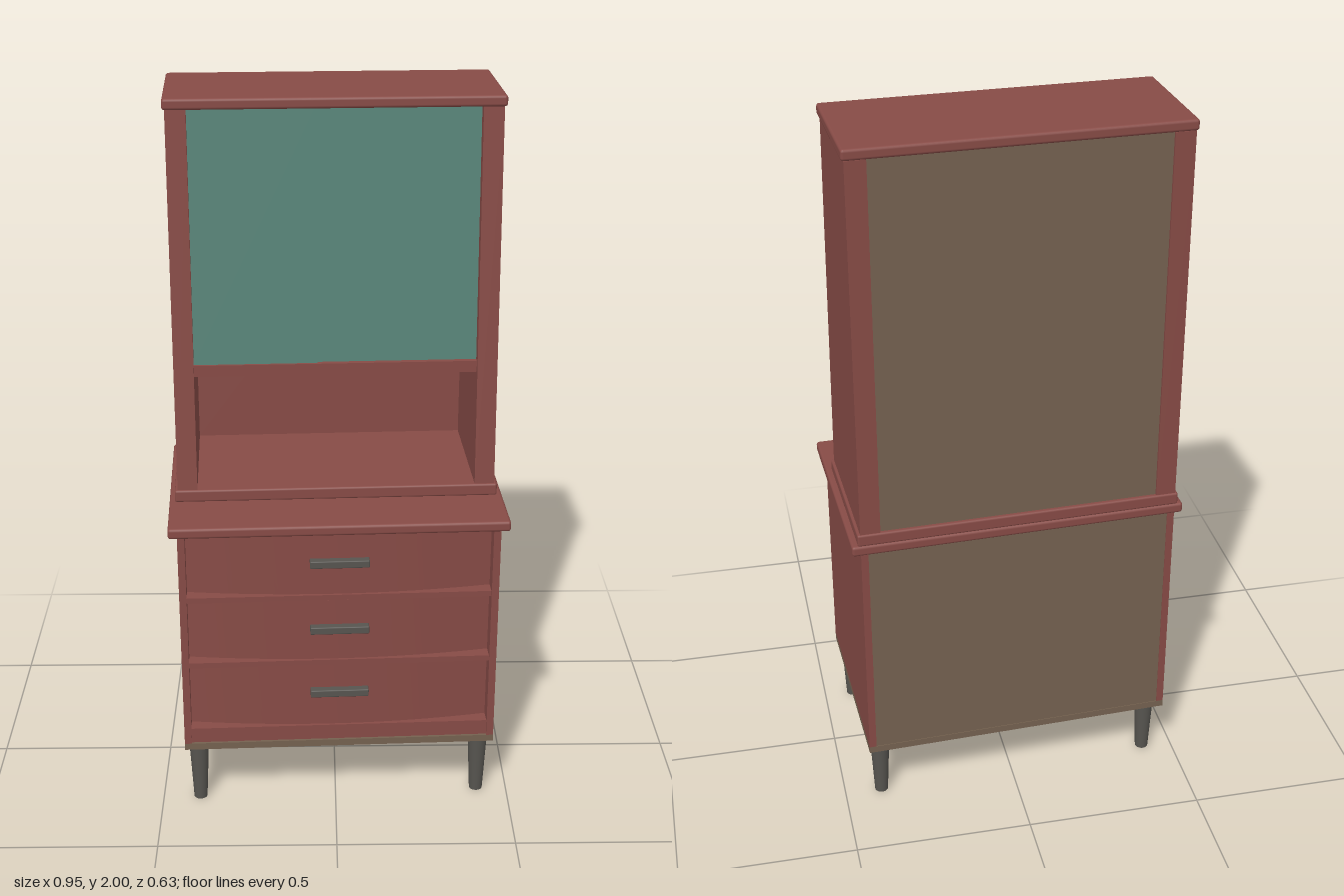
import * as THREE from 'three';
import { toCreasedNormals } from 'three/addons/utils/BufferGeometryUtils.js';
import { RoundedBoxGeometry } from 'three/addons/geometries/RoundedBoxGeometry.js';

export function createModel() {
  const mat = (name, color) => {
    const m = new THREE.MeshStandardMaterial({ color });
    m.name = name;
    return m;
  };
  const wood = mat('reddish wood', 0x874b46);
  const board = mat('brown backing', 0x756250);
  const glass = mat('green glass', 0x578478);
  const metal = mat('dark grey', 0x575550);

  const model = new THREE.Group();
  model.name = 'hutchCabinet';
  const add = (name, geometry, material, parent = model) => {
    const mesh = new THREE.Mesh(geometry, material);
    mesh.name = name;
    parent.add(mesh);
    return mesh;
  };
  // Box given by its limits on each axis; a radius rounds its edges
  const box = (name, [x0, x1], [y0, y1], [z0, z1], material, radius = 0) => {
    const size = [x1 - x0, y1 - y0, z1 - z0];
    const g = radius ? new RoundedBoxGeometry(...size, 2, radius) : new THREE.BoxGeometry(...size);
    g.translate((x0 + x1) / 2, (y0 + y1) / 2, (z0 + z1) / 2);
    return add(name, g, material);
  };

  const BACK = -0.295, FRONT = 0.282, HALF = 0.442, INNER = 0.422;

  // Tapered round legs
  for (const x of [-0.403, 0.403]) {
    for (const z of [-0.237, 0.237]) {
      const leg = add('leg', new THREE.CylinderGeometry(0.03, 0.019, 0.22, 20), metal);
      leg.position.set(x, 0.11, z);
    }
  }

  // Open base frame with a recessed underside
  for (const s of [-1, 1]) {
    const xs = [s * HALF, s * (HALF - 0.03)].sort((a, b) => a - b);
    box('baseFrameSide', xs, [0.185, 0.205], [BACK, FRONT], board);
  }
  box('baseFrameFront', [-HALF + 0.03, HALF - 0.03], [0.185, 0.205], [FRONT - 0.03, FRONT], board);
  box('baseFrameBack', [-HALF + 0.03, HALF - 0.03], [0.185, 0.205], [BACK, BACK + 0.03], board);
  box('underside', [-INNER, INNER], [0.215, 0.225], [BACK + 0.01, 0.26], board);

  // Lower carcass
  for (const s of [-1, 1]) {
    const xs = [s * HALF, s * INNER].sort((a, b) => a - b);
    box('lowerSide', xs, [0.205, 0.862], [BACK, FRONT], wood);
  }
  box('lowerBack', [-INNER, INNER], [0.205, 0.862], [BACK + 0.002, BACK + 0.012], board);
  box('counterTop', [-0.466, 0.466], [0.86, 0.89], [-0.299, 0.299], wood, 0.008);
  box('bottomRail', [-INNER, INNER], [0.205, 0.25], [0.2, 0.275], wood);
  for (const y of [0.447, 0.652]) {
    box('drawerRail', [-INNER, INNER], [y, y + 0.016], [0.2, 0.275], wood);
  }

  // Bowed drawer fronts with bar handles
  const plan = new THREE.Shape();
  plan.moveTo(-INNER, -0.2);
  plan.lineTo(-INNER, -0.235);
  plan.quadraticCurveTo(0, -0.301, INNER, -0.235);
  plan.lineTo(INNER, -0.2);
  const drawers = [[0.25, 0.443, 0.36], [0.463, 0.648, 0.562], [0.668, 0.86, 0.767]];
  for (const [y0, y1, handleY] of drawers) {
    const g = new THREE.ExtrudeGeometry(plan, { depth: y1 - y0, bevelEnabled: false, curveSegments: 20 });
    g.rotateX(-Math.PI / 2).translate(0, y0, 0);
    add('drawerFront', toCreasedNormals(g, 0.5), wood);
    box('drawerHandle', [-0.082, 0.082], [handleY - 0.011, handleY + 0.011], [0.262, 0.289], metal, 0.003);
  }

  // Upper cabinet: base board, cap and sloping sides
  const Y0 = 0.925, Y1 = 1.97, Z0 = 0.118, Z1 = 0.052, IN = 0.387;
  const slopeZ = (y) => Z0 + (Z1 - Z0) * (y - Y0) / (Y1 - Y0);
  box('upperBase', [-0.45, 0.45], [0.89, Y0], [-0.299, 0.124], wood, 0.006);
  box('cap', [-0.449, 0.449], [Y1, 2], [-0.299, 0.063], wood, 0.008);
  const profile = new THREE.Shape([[BACK, Y0], [Z0, Y0], [Z1, Y1], [BACK, Y1]]
    .map(([z, y]) => new THREE.Vector2(z, y)));
  for (const right of [-HALF, IN]) {
    const g = new THREE.ExtrudeGeometry(profile, { depth: HALF - IN, bevelEnabled: false });
    g.rotateY(-Math.PI / 2).translate(right + HALF - IN, 0, 0);
    add('upperSide', g, wood);
  }
  box('upperBack', [-IN, IN], [Y0, Y1], [BACK + 0.007, BACK + 0.015], board);
  box('nicheLining', [-IN, IN], [Y0, Y1], [BACK + 0.015, BACK + 0.022], wood);

  // Shelf over the open niche
  box('shelf', [-IN, IN], [1.245, 1.277], [BACK + 0.022, slopeZ(1.26) - 0.016], wood);

  // Sliding glass doors, leaning back with the sides
  const doors = new THREE.Group();
  doors.name = 'glassDoors';
  const midY = (1.275 + Y1) / 2;
  doors.position.set(0, midY, slopeZ(midY) - 0.026);
  doors.rotation.x = Math.atan((Z1 - Z0) / (Y1 - Y0));
  model.add(doors);
  for (const [x0, x1, z] of [[-IN, -0.05, 0], [-0.07, IN, -0.008]]) {
    const door = add('glassDoor', new THREE.BoxGeometry(x1 - x0, Y1 - 1.273, 0.007), glass, doors);
    door.position.set((x0 + x1) / 2, 0, z);
  }

  // The whole piece stands turned by a slight angle
  model.rotation.y = 0.04;
  const group = new THREE.Group();
  group.name = 'cabinet';
  group.add(model);
  return group;
}
